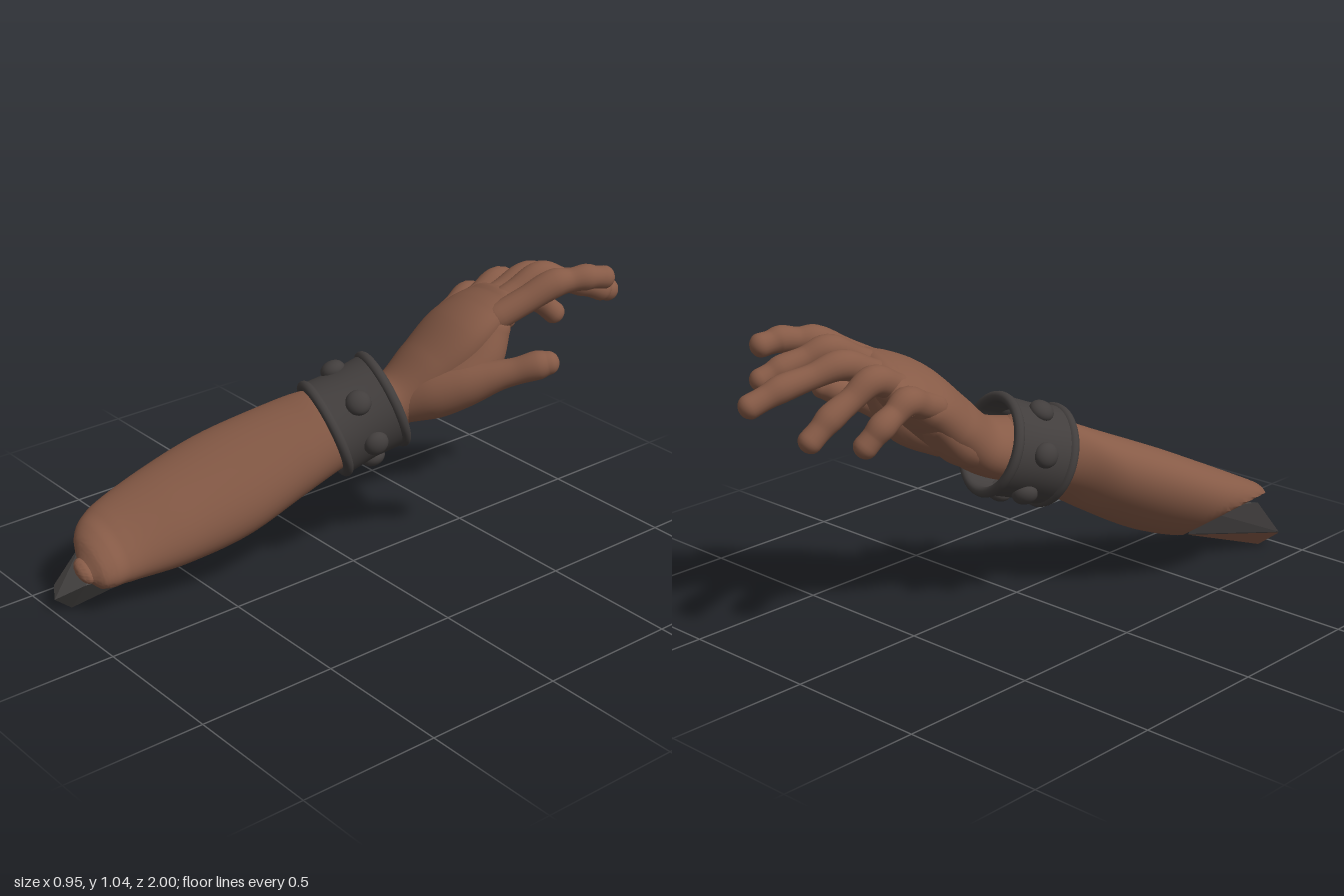
import * as THREE from 'three';
import { toCreasedNormals } from 'three/addons/utils/BufferGeometryUtils.js';
import { ConvexGeometry } from 'three/addons/geometries/ConvexGeometry.js';

const V = (x, y, z) => new THREE.Vector3(x, y, z);

// Smooth limb through rows of [x, y, z, rx, ry, skew], with rounded ends.
// side: direction of rx. planar: keep every section in an upright xy plane.
function loft(rows, { side = V(0.91, 0.41, 0), planar = false, steps = 6, around = 28 } = {}) {
  const path = new THREE.CatmullRomCurve3(rows.map(r => V(r[0], r[1], r[2])));
  const size = new THREE.CatmullRomCurve3(
    rows.map(r => V(r[3], r[4] ?? r[3], r[5] ?? 0)), false, 'catmullrom');
  const n = (rows.length - 1) * steps, capN = 6, rings = [];
  for (let k = 0; k < capN; k++) rings.push([0, -Math.PI / 2 * (1 - k / capN)]);
  for (let i = 0; i <= n; i++) rings.push([i / n, 0]);
  for (let k = 1; k <= capN; k++) rings.push([1, Math.PI / 2 * k / capN]);

  const pos = [], idx = [];
  rings.forEach(([u, a], i) => {
    const c = path.getPoint(u), r = size.getPoint(u);
    const T = planar ? V(0, 0, -1) : path.getTangent(u);
    const S = planar ? V(1, 0, 0) : side.clone().addScaledVector(T, -side.dot(T)).normalize();
    const U = S.clone().cross(T);
    c.addScaledVector(T, Math.sin(a) * Math.min(r.x, r.y) * 0.9);
    const k = Math.max(Math.cos(a), 0.001);
    for (let j = 0; j < around; j++) {
      const t = j / around * Math.PI * 2;
      const p = c.clone().addScaledVector(S, r.x * k * Math.cos(t))
        .addScaledVector(U, r.y * k * Math.sin(t + r.z));
      pos.push(p.x, p.y, p.z);
      if (i < rings.length - 1) {
        const A = i * around + j, B = i * around + (j + 1) % around;
        idx.push(A, A + around, B, B, A + around, B + around);
      }
    }
  });
  const g = new THREE.BufferGeometry();
  g.setAttribute('position', new THREE.Float32BufferAttribute(pos, 3));
  g.setIndex(idx);
  g.computeVertexNormals();
  return g;
}

// Finger rows from its joints: swollen at the knuckles, slimmer between them
function fingerRows(joints) {
  const joint = [0.048, 0.05, 0.045, 0.04], bone = [0.047, 0.041, 0.039];
  const rows = [];
  joints.forEach((p, i) => {
    rows.push([...p, joint[i]]);
    const q = joints[i + 1];
    if (q) rows.push([...p.map((v, k) => (v + q[k]) / 2), bone[i]]);
  });
  return rows;
}

export function createModel() {
  const model = new THREE.Group();
  const skin = new THREE.MeshStandardMaterial({ color: 0x875b47 });
  const leather = new THREE.MeshStandardMaterial({ color: 0x423e3d });
  const stone = new THREE.MeshStandardMaterial({ color: 0x4b4847 });
  skin.name = 'brown skin';
  leather.name = 'dark band';
  stone.name = 'dark grey core';
  const add = (parent, name, geometry, material) => {
    const m = new THREE.Mesh(geometry, material);
    m.name = name;
    parent.add(m);
    return m;
  };

  // Forearm, cut off by a slanting plane below the elbow
  const arm = loft([
    [-0.285, 0.16, 0.915, 0.05, 0.036, -0.4],
    [-0.298, 0.172, 0.89, 0.098, 0.07, -0.4],
    [-0.312, 0.185, 0.85, 0.128, 0.09, -0.4],
    [-0.322, 0.2, 0.79, 0.148, 0.105, -0.4],
    [-0.287, 0.255, 0.6, 0.188, 0.145, -0.25],
    [-0.225, 0.335, 0.4, 0.203, 0.163, -0.2],
    [-0.145, 0.435, 0.2, 0.183, 0.153, -0.1],
    [-0.09, 0.49, 0.1, 0.155, 0.143, -0.1],
    [-0.03, 0.535, -0.02, 0.125, 0.125, 0],
  ], { planar: true, steps: 8, around: 48 });
  const cut = V(-0.57, -0.82, 0.05), p = V(0, 0, 0), at = arm.attributes.position;
  for (let i = 0; i < at.count; i++) {
    p.fromBufferAttribute(at, i);
    const over = cut.dot(p) - 0.087;
    if (over > 0) p.addScaledVector(cut, -over);
    at.setXYZ(i, p.x, p.y, p.z);
  }
  add(model, 'forearm', toCreasedNormals(arm, 0.7), skin);

  // Angular core sticking out of the cut, with one skin-coloured face underneath
  const outer = V(-0.42, 0.06, 0.96), low = V(-0.345, 0, 0.94), root = V(-0.25, 0.098, 0.64);
  add(model, 'core', new ConvexGeometry([
    outer, low, root, V(-0.35, 0.05, 1), V(-0.26, 0.12, 0.93),
    V(-0.4, 0.2, 0.85), V(-0.28, 0.16, 0.89), V(-0.3, 0.2, 0.65),
  ]), stone);
  const flap = new THREE.BufferGeometry().setFromPoints([outer, root, low]);
  flap.computeVertexNormals();
  add(model, 'coreUnderside', flap.translate(-0.002, -0.002, -0.002), skin);

  // Hand
  const hand = new THREE.Group();
  hand.name = 'hand';
  model.add(hand);
  add(hand, 'palm', loft([
    [-0.02, 0.535, -0.02, 0.122, 0.11],
    [0.02, 0.585, -0.17, 0.125, 0.095],
    [0.055, 0.69, -0.29, 0.16, 0.1],
    [0.083, 0.787, -0.39, 0.184, 0.1],
    [0.093, 0.842, -0.465, 0.184, 0.084],
    [0.1, 0.882, -0.525, 0.172, 0.058],
  ], { around: 40, steps: 8 }), skin);
  add(hand, 'palmHeel', loft([
    [0, 0.57, -0.19, 0.08, 0.06], [0.005, 0.63, -0.29, 0.095, 0.075], [0.01, 0.73, -0.4, 0.09, 0.06],
  ]), skin);
  add(hand, 'thumb', loft([
    [0.07, 0.585, -0.17, 0.07], [0.15, 0.63, -0.24, 0.086], [0.235, 0.675, -0.305, 0.075],
    [0.31, 0.713, -0.365, 0.054], [0.36, 0.735, -0.41, 0.046],
    [0.41, 0.76, -0.46, 0.049], [0.432, 0.768, -0.487, 0.04],
  ], { side: V(0, 1, 0) }), skin);
  // Ball of the thumb and the web up to the first finger
  add(hand, 'thumbWeb', loft([
    [0.12, 0.62, -0.24, 0.085], [0.19, 0.675, -0.32, 0.095],
    [0.215, 0.75, -0.38, 0.08], [0.215, 0.84, -0.43, 0.062],
  ], { side: V(1, 0, 0) }), skin);

  const fingers = {
    firstFinger: [[0.225, 0.88, -0.44], [0.31, 0.982, -0.62], [0.36, 0.995, -0.72], [0.38, 0.985, -0.785]],
    secondFinger: [[0.165, 0.88, -0.46], [0.215, 0.975, -0.65], [0.275, 0.93, -0.79], [0.302, 0.9, -0.855]],
    thirdFinger: [[0.095, 0.86, -0.46], [0.13, 0.945, -0.67], [0.2, 0.895, -0.86], [0.236, 0.852, -0.96]],
    fourthFinger: [[0.025, 0.83, -0.45], [0.03, 0.905, -0.63], [0.065, 0.81, -0.78], [0.085, 0.745, -0.85]],
    littleFinger: [[-0.04, 0.785, -0.43], [-0.058, 0.84, -0.57], [-0.05, 0.78, -0.67], [-0.025, 0.72, -0.72]],
  };
  for (const [name, joints] of Object.entries(fingers))
    add(hand, name, loft(fingerRows(joints), { around: 20 }), skin);

  // Wrist band; its own z axis runs along the arm towards the elbow
  const band = new THREE.Group();
  band.name = 'wristBand';
  const Z = V(-0.27, -0.33, 0.9).normalize();
  const X = V(1, 0, 0).addScaledVector(Z, -Z.x).normalize();
  band.quaternion.setFromRotationMatrix(new THREE.Matrix4().makeBasis(X, Z.clone().cross(X), Z));
  band.position.set(-0.04, 0.543, -0.034);
  model.add(band);
  const profile = [[0.146, -0.11], [0.17, -0.11], [0.164, 0], [0.172, 0.11], [0.146, 0.11], [0.146, -0.11]];
  const sleeve = new THREE.LatheGeometry(profile.map(q => new THREE.Vector2(...q)), 48);
  add(band, 'sleeve', toCreasedNormals(sleeve.rotateX(Math.PI / 2), 0.6), leather);
  for (const s of [-1, 1])
    add(band, 'rim', new THREE.TorusGeometry(0.163, 0.018, 12, 48), leather).position.z = s * 0.112;
  for (const degrees of [46, -10, -70, 118, 176, 234]) {
    const a = degrees * Math.PI / 180;
    const stud = add(band, 'stud', new THREE.SphereGeometry(0.044, 20, 14), leather);
    stud.scale.x = 0.75;
    stud.rotation.z = a;
    stud.position.set(Math.cos(a) * 0.167, Math.sin(a) * 0.167, 0);
  }
  return model;
}
